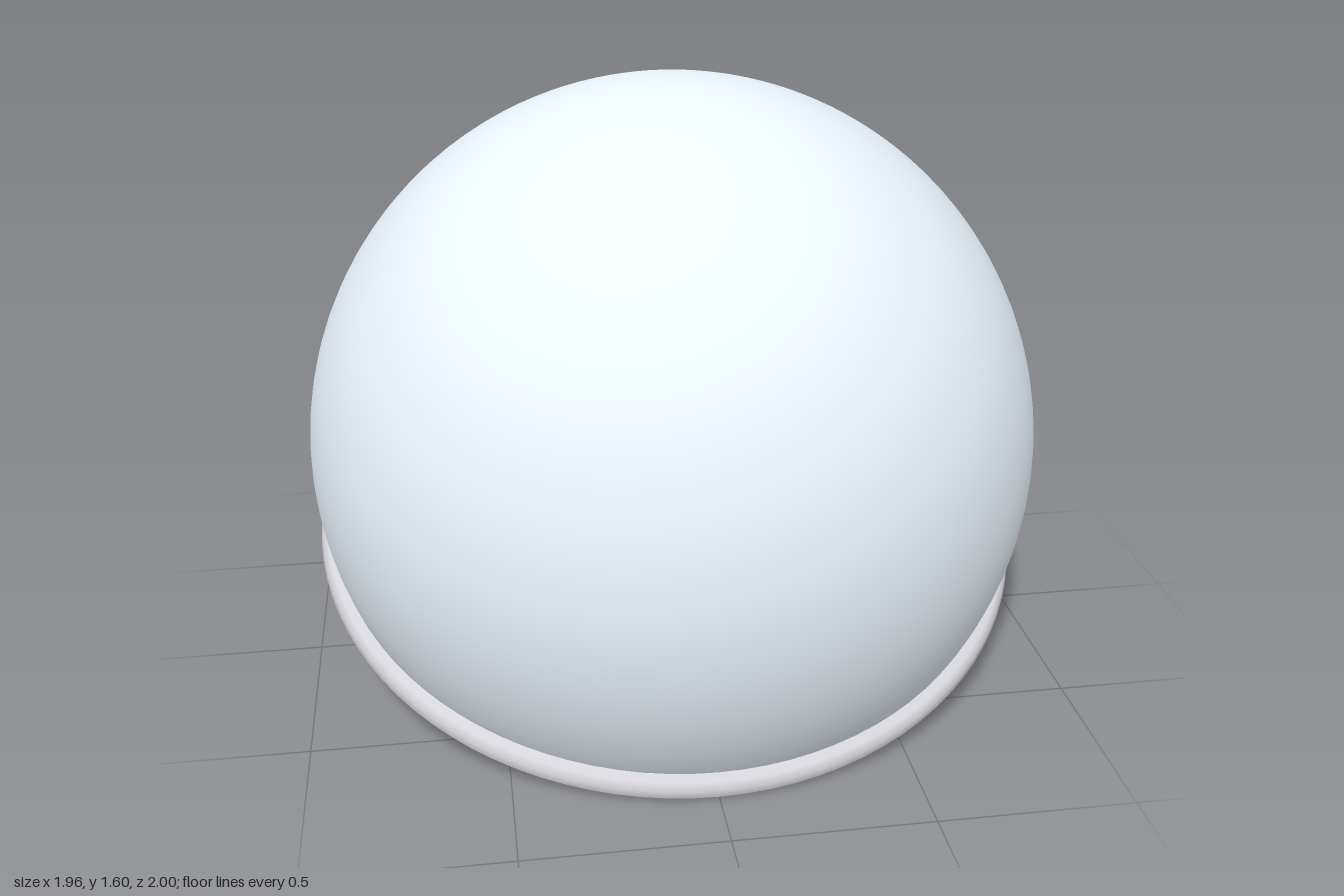
import * as THREE from 'three';

const V = (x, y, z) => new THREE.Vector3(x, y, z);
const material = (color) => new THREE.MeshStandardMaterial({ color, side: THREE.DoubleSide });

function part(name, geometry, color) {
  const mesh = new THREE.Mesh(geometry, material(color));
  mesh.name = name;
  return mesh;
}

// Smooth curve through points on the -x half, mirrored to +x (first point lies on x = 0)
function mirroredCurve(points) {
  const other = points.slice(1).map((p) => V(-p.x, p.y, p.z));
  return new THREE.CatmullRomCurve3([...points.slice().reverse(), ...other]);
}

// Surface stretched between two curves
function ribbon(lower, upper, segments = 80) {
  const a = lower.getPoints(segments), b = upper.getPoints(segments);
  const geometry = new THREE.PlaneGeometry(1, 1, segments, 1);
  const pos = geometry.attributes.position;
  for (let i = 0; i <= segments; i++) {
    pos.setXYZ(i, b[i].x, b[i].y, b[i].z);
    pos.setXYZ(i + segments + 1, a[i].x, a[i].y, a[i].z);
  }
  geometry.computeVertexNormals();
  return geometry;
}

// Rounded rectangle, slightly narrower at the bottom
function lensOutline(w, h, r, Path = THREE.Shape) {
  const s = new Path(), b = w * 0.9;
  s.moveTo(-b + r, -h);
  s.lineTo(b - r, -h);
  s.quadraticCurveTo(b, -h, b, -h + r);
  s.lineTo(w, h - r);
  s.quadraticCurveTo(w, h, w - r, h);
  s.lineTo(-w + r, h);
  s.quadraticCurveTo(-w, h, -w, h - r);
  s.lineTo(-b, -h + r);
  s.quadraticCurveTo(-b, -h, -b + r, -h);
  return s;
}

function createGlasses() {
  const glasses = new THREE.Group();
  glasses.name = 'glasses';
  const outline = lensOutline(0.13, 0.1, 0.045);
  outline.holes.push(lensOutline(0.108, 0.08, 0.03, THREE.Path));
  const frameGeometry = new THREE.ExtrudeGeometry(outline, {
    depth: 0.02, bevelThickness: 0.006, bevelSize: 0.006, bevelSegments: 2,
  });
  const lensGeometry = new THREE.ShapeGeometry(lensOutline(0.112, 0.085, 0.03));
  for (const side of [-1, 1]) {
    const eye = new THREE.Group();
    eye.name = side < 0 ? 'rightEyepiece' : 'leftEyepiece';
    const lens = part('lens', lensGeometry, 0x2a3242);
    lens.position.z = 0.01;
    eye.add(part('frame', frameGeometry, 0x161616), lens);
    eye.position.set(side * 0.22, 0.151, 0.755);
    eye.rotation.y = side * 0.39;
    const arm = new THREE.CatmullRomCurve3([
      V(side * 0.338, 0.2, 0.71), V(side * 0.36, 0.19, 0.65),
      V(side * 0.415, 0.13, 0.38), V(side * 0.44, 0.083, 0.118),
    ]);
    glasses.add(eye, part('templeArm', new THREE.TubeGeometry(arm, 24, 0.013, 8), 0x161616));
  }
  const bridge = new THREE.QuadraticBezierCurve3(V(-0.1, 0.18, 0.81), V(0, 0.21, 0.84), V(0.1, 0.18, 0.81));
  glasses.add(part('bridge', new THREE.TubeGeometry(bridge, 12, 0.014, 8), 0x161616));
  return glasses;
}

// Pleated red cap, open below and tipped back
function createCap() {
  const geometry = new THREE.SphereGeometry(1, 192, 32, 0, Math.PI * 2, 0, Math.PI / 2);
  const pos = geometry.attributes.position;
  const p = V(0, 0, 0);
  for (let i = 0; i < pos.count; i++) {
    p.fromBufferAttribute(pos, i);
    const pleat = Math.cos(32 * Math.atan2(p.z, p.x)) * Math.hypot(p.x, p.z);
    p.multiplyScalar(0.56 + 0.007 * pleat);
    pos.setXYZ(i, p.x, p.y, p.z);
  }
  geometry.computeVertexNormals();
  const cap = part('pleatedCap', geometry, 0xa3262f);
  cap.position.set(0, 0.12, -0.335);
  cap.rotation.x = -0.175;
  return cap;
}

// Visor: dark brim with a teal band running back into the cap
function createVisor() {
  const visor = new THREE.Group();
  visor.name = 'visor';
  const brimEdge = mirroredCurve([V(0, 0.185, 0.78), V(-0.12, 0.207, 0.69), V(-0.25, 0.28, 0.585), V(-0.29, 0.295, 0.36), V(-0.25, 0.254, 0.114)]);
  const brimRoot = mirroredCurve([V(0, 0.32, 0.7), V(-0.06, 0.318, 0.67), V(-0.17, 0.303, 0.551), V(-0.26, 0.284, 0.367), V(-0.25, 0.26, 0.12)]);
  const bandLow = mirroredCurve([V(0, 0.32, 0.7), V(-0.17, 0.303, 0.551), V(-0.26, 0.284, 0.367), V(-0.25, 0.254, 0.114), V(-0.29, 0.34, 0.045), V(-0.3, 0.457, 0.009)]);
  const bandTop = mirroredCurve([V(0, 0.52, 0.62), V(-0.14, 0.46, 0.5), V(-0.25, 0.325, 0.355), V(-0.26, 0.31, 0.193), V(-0.28, 0.384, 0.091), V(-0.29, 0.48, 0.03)]);
  visor.add(
    part('brim', ribbon(brimEdge, brimRoot), 0x12172b),
    part('band', ribbon(bandLow, bandTop), 0x1f807b),
  );
  return visor;
}

// Ring turned from a radius and height profile
function turned(name, profile) {
  const points = profile.map(([r, y]) => new THREE.Vector2(r, y));
  return part(name, new THREE.LatheGeometry(points, 96), 0xd4d4da);
}

export function createModel() {
  const model = new THREE.Group();
  model.name = 'domeHelmet';
  const body = new THREE.Group();
  body.name = 'helmet';
  body.position.set(0, 0.626, 0.024);
  model.add(body);

  // Dome and neck ring share an axis tipped forward
  const shell = new THREE.Group();
  shell.name = 'shell';
  shell.rotation.x = THREE.MathUtils.degToRad(19.8);
  const dome = part('dome', new THREE.SphereGeometry(0.974, 96, 64, 0, Math.PI * 2, 0, Math.acos(-0.285 / 0.974)), 0xecf6ff);

  // Underside with a rounded shoulder, then the top sloping to a thin inner edge
  const ring = new THREE.Group();
  ring.name = 'neckRing';
  ring.add(
    turned('ringUnderside', [[0.69, -0.316], [0.973, -0.316], [0.978, -0.308], [0.974, -0.287], [0.96, -0.271], [0.92, -0.262]]),
    turned('ringTop', [[0.92, -0.262], [0.8, -0.285], [0.69, -0.306], [0.69, -0.316]]),
  );
  shell.add(dome, ring);

  body.add(shell, createCap(), createVisor(), createGlasses());
  return model;
}
